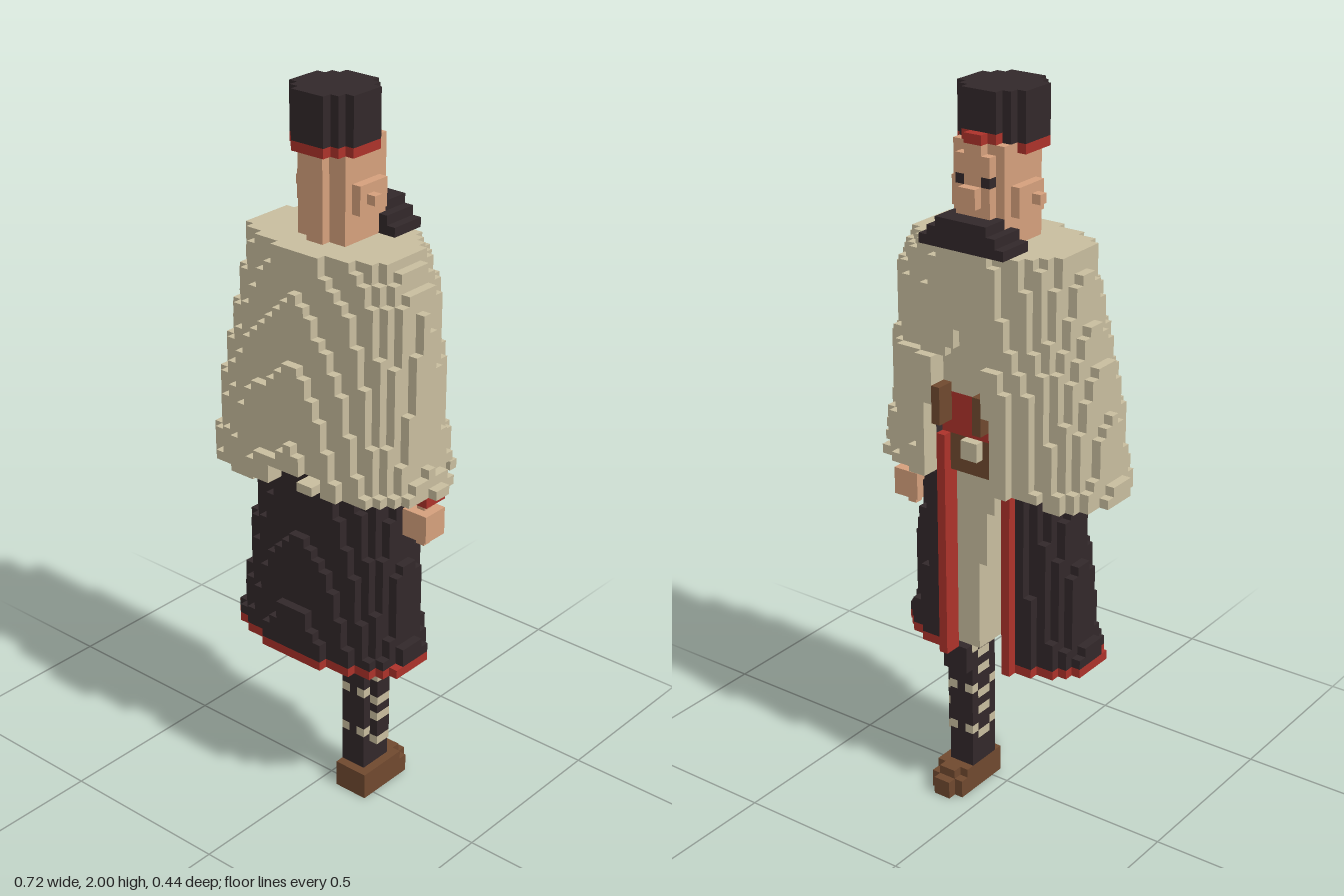
import * as THREE from 'three';

const S = 2 / 78; // edge length of one cube
const mat = (name, color) => Object.assign(new THREE.MeshStandardMaterial({ color }), { name });

// Straight-line interpolation through [y, value] pairs, rising in y
function profile(y, pts) {
  if (y <= pts[0][0]) return pts[0][1];
  for (let i = 1; i < pts.length; i++) {
    const [y0, v0] = pts[i - 1], [y1, v1] = pts[i];
    if (y <= y1) return v0 + (v1 - v0) * (y - y0) / (y1 - y0);
  }
  return pts[pts.length - 1][1];
}

const oval = (x, z, a, b, n = 2) => (Math.abs(x) / a) ** n + (Math.abs(z) / b) ** n < 1;
const within = (v, lo, hi) => v > lo && v < hi;
const box = (x0, x1, y0, y1, z0, z1) => (x, y, z) =>
  within(x, x0, x1) && within(y, y0, y1) && within(z, z0, z1);
const any = (...rules) => (x, y, z) => rules.some(r => r(x, y, z));

// Fills cubes wherever the rule holds and keeps only the exposed faces
function voxels(name, material, rule) {
  const full = (i, j, k) => j >= 0 && j < 78 && rule((i + 0.5) * S, (j + 0.5) * S, k * S);
  const pos = [], nor = [];
  for (let i = -14; i < 14; i++) for (let j = 0; j < 78; j++) for (let k = -8; k <= 8; k++) {
    if (!full(i, j, k)) continue;
    for (let axis = 0; axis < 3; axis++) for (const d of [-1, 1]) {
      const n = [0, 0, 0];
      n[axis] = d;
      if (full(i + n[0], j + n[1], k + n[2])) continue;
      const u = (axis + 1) % 3, v = (axis + 2) % 3;
      const c = [[-1, -1], [1, -1], [1, 1], [-1, 1]].map(([p, q]) => {
        const o = [0, 0, 0];
        o[axis] = d; o[u] = p * d; o[v] = q;
        return [(i + 0.5 + o[0] / 2) * S, (j + 0.5 + o[1] / 2) * S, (k + o[2] / 2) * S];
      });
      for (const t of [0, 1, 2, 0, 2, 3]) { pos.push(...c[t]); nor.push(...n); }
    }
  }
  const g = new THREE.BufferGeometry();
  g.setAttribute('position', new THREE.Float32BufferAttribute(pos, 3));
  g.setAttribute('normal', new THREE.Float32BufferAttribute(nor, 3));
  const mesh = new THREE.Mesh(g, material);
  mesh.name = name;
  return mesh;
}

export function createModel() {
  const wool = mat('wool', 0xc8bd9e), dark = mat('darkCloth', 0x32282a), red = mat('redTrim', 0xac322a);
  const skin = mat('skin', 0xd5a07c), brown = mat('leather', 0x70492f);
  const group = new THREE.Group();
  const add = (name, material, rule) => group.add(voxels(name, material, rule));

  // Cape: hollow oval bell, slit open on the face side (-z)
  const capeAt = (x, y, z, inset) => {
    const a = x < 0
      ? profile(y, [[1.0, 0.357], [1.05, 0.335], [1.18, 0.32], [1.33, 0.297], [1.46, 0.266], [1.61, 0.235]])
      : profile(y, [[1.0, 0.3595], [1.05, 0.325], [1.15, 0.31], [1.5, 0.297], [1.56, 0.265], [1.61, 0.235]]);
    const b = z > 0
      ? profile(y, [[1.0, 0.214], [1.1, 0.207], [1.3, 0.182], [1.46, 0.157], [1.61, 0.135]])
      : profile(y, [[1.0, 0.228], [1.32, 0.222], [1.34, 0.2], [1.61, 0.193]]);
    const fold = 0.003 * Math.sin(34 * x + 5 * y);
    return oval(x, z, a - inset + fold, b - inset + fold, z > 0 ? 2 : 2.15);
  };
  add('cape', wool, (x, y, z) => {
    let hem = x < -0.24 || (x < -0.1 && z > 0.13) ? 0.975 : 1.0;
    if (within(x, -0.03, 0.14) && z > 0) hem = 1.05;
    if (x > 0 && within(z, -0.14, -0.08)) hem = 1.05;
    if (y < hem || y > 1.615) return false;
    if (z < -0.05 && Math.abs(x) < profile(y, [[1.0, 0.105], [1.33, 0.079], [1.37, 0.03], [1.43, 0]])) return false;
    return capeAt(x, y, z, 0) && (y > 1.56 || !capeAt(x, y, z, 0.05));
  });
  // Leather fastenings on both edges of the slit
  add('capeFastenings', brown, (x, y, z) =>
    within(Math.abs(x), 0.052, 0.077) && within(y, 1.15, 1.26) && within(z, -0.22, -0.16));

  // Torso, sash, belt and buckle seen through the slit
  add('torso', dark, (x, y, z) => within(y, 1.026, 1.56) && oval(x, z, 0.19, 0.11));
  add('shirt', wool, box(-0.104, 0.104, 1.23, 1.5, -0.167, -0.09));
  add('sash', red, box(-0.104, 0.104, 1.1, 1.232, -0.15, -0.08));
  add('belt', brown, any(box(-0.104, 0.104, 1.0, 1.1, -0.14, -0.08), box(-0.13, 0.13, 1.0, 1.026, -0.1, 0.06),
    box(-0.03, 0.03, 1.03, 1.08, 0.1, 0.15)));
  add('buckle', wool, any(box(-0.027, 0.027, 1.05, 1.103, -0.17, -0.14), box(0.026, 0.078, 0.975, 1.0, 0.1, 0.17)));

  // Skirt of the coat: flared shell with an opening, red hem and red edges
  const skirtAt = (x, y, z, inset) => {
    const a = profile(y, [[0.47, 0.286], [0.53, 0.275], [0.56, 0.258], [0.74, 0.25], [0.8, 0.235], [0.93, 0.22], [1.08, 0.2]]);
    const b = z > 0
      ? profile(y, [[0.47, 0.168], [0.6, 0.156], [0.8, 0.13], [1.0, 0.11]])
      : 0.153;
    return oval(x, z, a - inset, b - inset, z > 0 ? 2 : 2.5);
  };
  const skirt = (x, y, z) => within(y, 0.461, 1.08) && skirtAt(x, y, z, 0) && !skirtAt(x, y, z, 0.045)
    && !(z < -0.03 && within(x, -0.128, 0.103));
  add('coatSkirt', dark, (x, y, z) => y > 0.487 && skirt(x, y, z));
  add('coatHem', red, (x, y, z) => y < 0.487 && skirt(x, y, z));
  add('coatEdges', red, (x, y, z) => within(y, 0.461, 1.1) && within(z, -0.167, y > 1 ? -0.14 : -0.11)
    && (within(x, 0.077, 0.103) || within(x, -0.128, -0.102)));

  // Wool breeches of the single leg, under the coat
  add('breeches', wool, (x, y, z) => within(y, 0.461, 1.0)
    && within(x, profile(y, [[0.5, 0.03], [0.75, 0.01], [0.95, -0.03]]), 0.155) && within(z, -0.1, 0.04));

  // The single leg with criss-cross wrapping
  const leg = (x, y, z) => within(y, 0.07, 0.461) && ((within(x, 0.05, 0.13) && within(z, -0.09, 0.013))
    || (within(x, 0.12, 0.155) && y > 0.16 && within(z, -0.065, -0.01))
    || (within(x, 0.05, 0.13) && y > 0.39 && within(z, -0.117, -0.05)));
  const wrap = (x, y, z) => {
    const p = Math.floor(y / S) % 5 % 3, k = Math.round(z / S), i = Math.floor(x / S);
    return y > 0.15 && i !== 3
      && ((p === 2 && (k === 0 || k === -3)) || (p === 1 && (k === -1 || k === -2)));
  };
  add('leg', dark, (x, y, z) => leg(x, y, z) && !wrap(x, y, z));
  add('legWrapping', wool, (x, y, z) => leg(x, y, z) && wrap(x, y, z));
  // Shoe with a rounded toe
  add('shoe', brown, any(box(0.05, 0.155, 0, 0.05, -0.14, 0.04), box(0.077, 0.13, 0, 0.05, -0.167, -0.13),
    box(0.05, 0.155, 0.05, 0.08, -0.115, 0.04), box(0.077, 0.13, 0.05, 0.08, -0.14, -0.11)));

  // Arm: sleeve, cuff and hand
  add('sleeve', dark, box(0.2, 0.29, 1.03, 1.4, -0.09, 0.01));
  add('cuff', red, box(0.23, 0.31, 0.948, 1.05, -0.09, -0.01));
  add('hand', skin, any(box(0.23, 0.31, 0.85, 0.93, -0.09, -0.01),
    box(0.256, 0.283, 0.82, 0.955, -0.065, -0.035)));

  // Head, cheeks, ears and nose
  const head = any(
    (x, y, z) => within(y, 1.6, 1.86) && oval(x, z + 0.038, 0.084, 0.092, 2.8),
    (x, y, z) => within(y, 1.7, 1.78) && within(Math.abs(x), 0.06, 0.103) && within(z, -0.09, 0.013),
    (x, y, z) => within(y, 1.72, 1.755) && within(Math.abs(x), 0.09, 0.13) && within(z, -0.04, -0.012),
    box(-0.052, 0.052, 1.68, 1.85, -0.142, -0.1),
    box(-0.027, 0.027, 1.715, 1.77, -0.168, -0.13));
  const eye = (x, y, z) => within(Math.abs(x), 0.026, 0.052) && within(y, 1.76, 1.79) && z < -0.12;
  add('head', skin, (x, y, z) => head(x, y, z) && !eye(x, y, z));
  add('eyes', dark, (x, y, z) => head(x, y, z) && eye(x, y, z));

  // Stepped dark collar below the chin
  add('collar', dark, (x, y, z) => within(z, -0.193, -0.09) && Math.abs(x) < 0.129
    && within(y, 1.61, Math.abs(x) > 0.104 ? 1.65 : z > -0.11 || Math.abs(x) > 0.08 ? 1.672 : 1.697));

  // Tall round hat with a red band, raised at the brow
  const hat = (x, z) => oval(x, z + 0.012, 0.108, 0.1);
  const brow = (x, y, z) => y < (z < -0.08 ? 1.9 : 1.872);
  add('hat', dark, (x, y, z) => y > 1.846 && hat(x, z) && !brow(x, y, z));
  add('hatBand', red, any((x, y, z) => y > 1.846 && hat(x, z) && brow(x, y, z),
    box(-0.027, 0.027, 1.846, 1.9, -0.142, -0.09)));

  return group;
}
